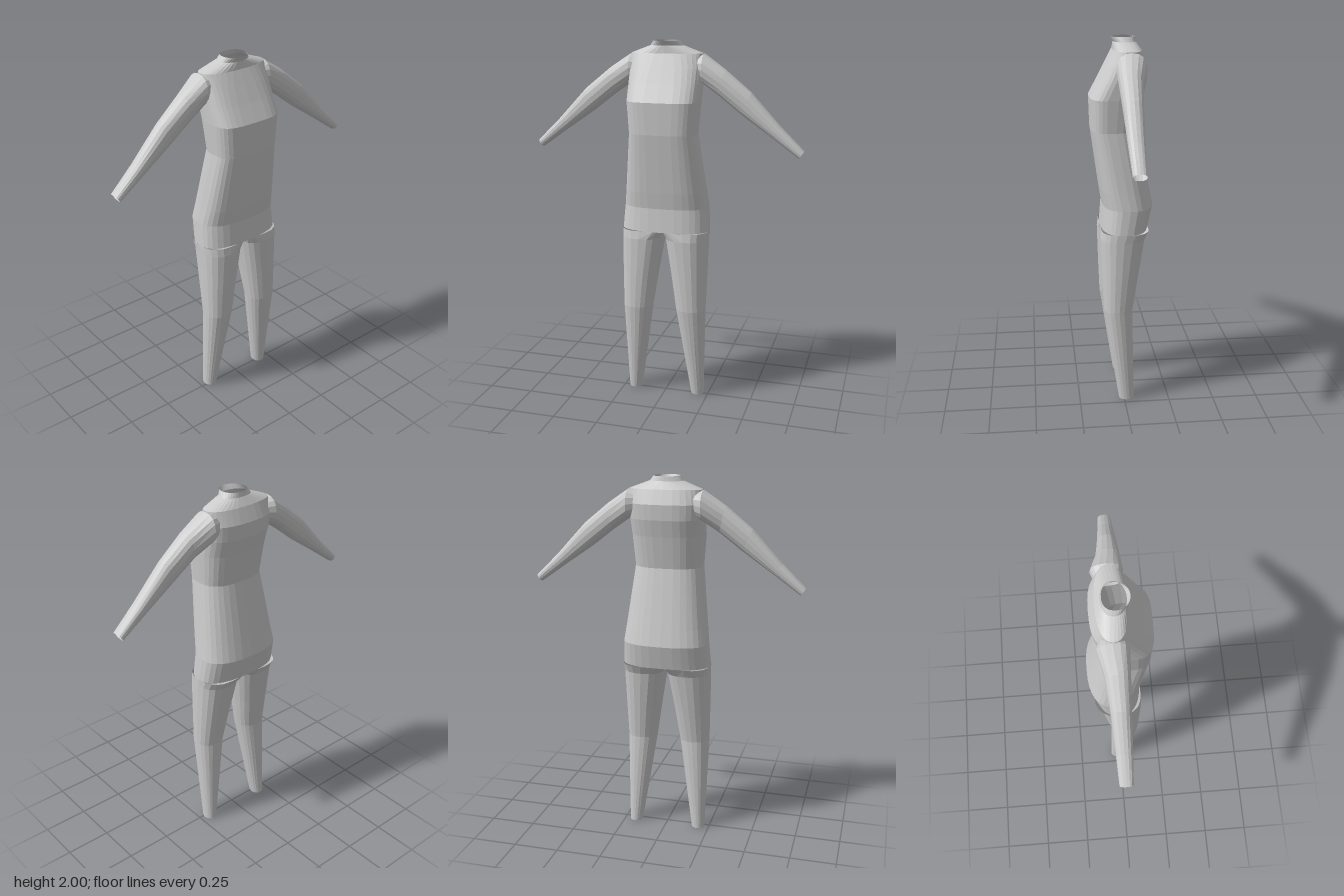
import * as THREE from 'three';

const material = new THREE.MeshStandardMaterial({ color: 0xcccccc, flatShading: true, side: THREE.DoubleSide });

// Open skin through a list of rings, each an array of Vector3
function loft(name, rings, mirror = false) {
  const n = rings[0].length, pos = [], idx = [];
  for (const ring of rings) for (const p of ring) pos.push(mirror ? -p.x : p.x, p.y, p.z);
  for (let i = 0; i < rings.length - 1; i++) {
    for (let j = 0; j < n; j++) {
      const a = i * n + j, b = i * n + (j + 1) % n, c = a + n, d = b + n;
      if (mirror) idx.push(a, c, b, b, c, d);
      else idx.push(a, b, c, b, d, c);
    }
  }
  const indexed = new THREE.BufferGeometry();
  indexed.setAttribute('position', new THREE.Float32BufferAttribute(pos, 3));
  indexed.setIndex(idx);
  const geometry = indexed.toNonIndexed();
  geometry.computeVertexNormals();
  const mesh = new THREE.Mesh(geometry, material);
  mesh.name = name;
  return mesh;
}

const power = (v, n) => Math.sign(v) * Math.pow(Math.abs(v), 2 / n);

// Level ring between x0..x1 and back..front; squareness(cos, sin) gives the superellipse exponent
function levelRing(y, x0, x1, front, back, squareness, sides) {
  const cx = (x0 + x1) / 2, hw = (x1 - x0) / 2, cz = (front + back) / 2, hd = (front - back) / 2;
  return Array.from({ length: sides }, (_, i) => {
    const a = (i / sides) * Math.PI * 2, c = Math.cos(a), s = Math.sin(a), n = squareness(c, s);
    return new THREE.Vector3(cx + hw * power(c, n), y, cz + hd * power(s, n));
  });
}

// Torso: y, half width, front z, back z, front squareness, back squareness
const torsoLevels = [
  [2.00, 0.07, 0.058, -0.075, 2, 2.4],
  [1.975, 0.088, 0.042, -0.08, 2, 2.4],
  [1.935, 0.195, 0.045, -0.108, 2.4, 2.4],
  [1.86, 0.2, 0.082, -0.138, 3, 2.6],
  [1.78, 0.198, 0.122, -0.135, 3.4, 2.6],
  [1.69, 0.195, 0.17, -0.115, 3.6, 2.6],
  [1.52, 0.183, 0.165, -0.085, 3.4, 2.6],
  [1.20, 0.222, 0.121, -0.151, 3, 2.5],
  [1.11, 0.234, 0.107, -0.17, 2.8, 2.5],
  [0.98, 0.243, 0.117, -0.14, 2.7, 2.5],
];

// Leg: y, inner x, outer x, front z, back z, inner squareness, outer squareness
const legLevels = [
  [0.98, 0.0, 0.243, 0.117, -0.14, 5, 2.5],
  [0.935, 0.008, 0.242, 0.123, -0.118, 2.6, 2.3],
  [0.72, 0.042, 0.239, 0.116, -0.082, 2.3, 2.2],
  [0.53, 0.07, 0.235, 0.108, -0.05, 2.2, 2.2],
  [0.0, 0.15, 0.222, 0.028, -0.056, 2.1, 2.1],
];

// Arm: upper x, upper y, lower x, lower y, front z, back z
const armLevels = [
  [0.15, 1.92, 0.15, 1.80, 0.03, -0.1],
  [0.2, 1.933, 0.2, 1.775, 0.042, -0.118],
  [0.32, 1.852, 0.29, 1.713, 0.038, -0.085],
  [0.46, 1.738, 0.41, 1.62, 0.032, -0.07],
  [0.62, 1.565, 0.57, 1.51, 0.026, -0.058],
  [0.745, 1.443, 0.718, 1.405, 0.02, -0.05],
];

// Tilted oval ring spanning an upper and a lower edge point
function armRing([ux, uy, lx, ly, front, back], sides) {
  return Array.from({ length: sides }, (_, i) => {
    const a = (i / sides) * Math.PI * 2, c = power(Math.cos(a), 2.3), s = power(Math.sin(a), 2.3);
    return new THREE.Vector3(
      (ux + lx) / 2 + c * (ux - lx) / 2,
      (uy + ly) / 2 + c * (uy - ly) / 2,
      (front + back) / 2 + s * (front - back) / 2);
  });
}

export function createModel() {
  const model = new THREE.Group();
  model.name = 'bodySuit';

  model.add(loft('torso', torsoLevels.map(([y, hw, f, b, nf, nb]) =>
    levelRing(y, -hw, hw, f, b, (c, s) => (s > 0 ? nf : nb), 32))));

  const legRings = legLevels.map(([y, x0, x1, f, b, ni, no]) =>
    levelRing(y, x0, x1, f, b, (c) => (c < 0 ? ni : no), 20));
  const armRings = armLevels.map((level) => armRing(level, 16));

  for (const [side, mirror] of [['left', false], ['right', true]]) {
    model.add(loft(side + 'Leg', legRings, mirror));
    model.add(loft(side + 'Arm', armRings, mirror));
  }
  return model;
}
